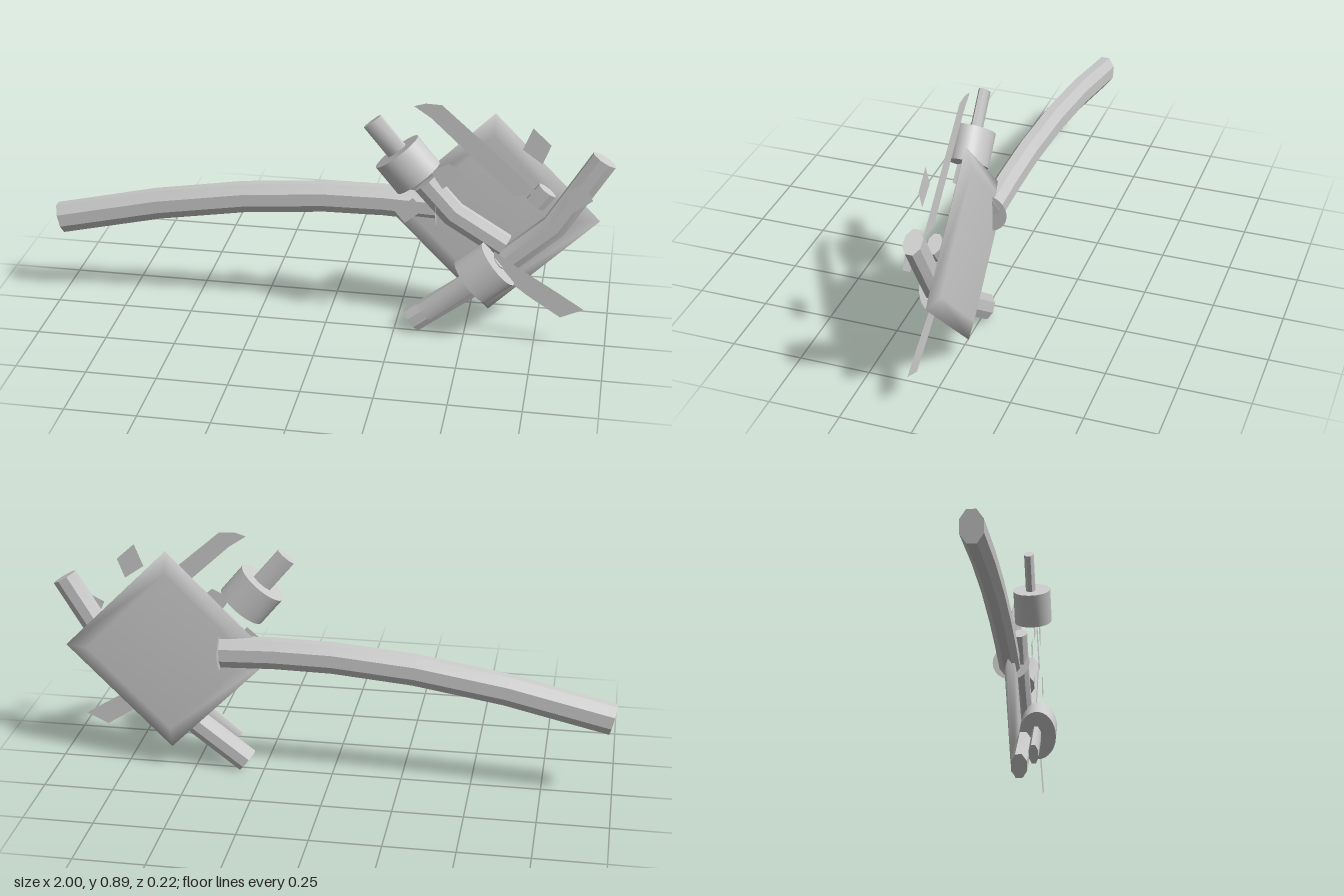
import * as THREE from 'three';
import { toCreasedNormals } from 'three/addons/utils/BufferGeometryUtils.js';

const grey = new THREE.MeshStandardMaterial({ color: 0xcccccc });
const sheetGrey = new THREE.MeshStandardMaterial({ color: 0xcccccc, side: THREE.DoubleSide });

// Sweeps a flattened polygon along a path lying in the plane z; rw in the plane, rz across it.
function sweep(points, z, rw, rz, sides = 8) {
  const path = points.map(([x, y]) => new THREE.Vector2(x, y));
  const pos = [], index = [], last = path.length - 1;
  path.forEach((p, i) => {
    const t = path[Math.min(i + 1, last)].clone().sub(path[Math.max(i - 1, 0)]).normalize();
    for (let j = 0; j < sides; j++) {
      const a = ((j + 0.5) / sides) * Math.PI * 2;
      const k = 1 / Math.cos(Math.PI / sides);
      const w = Math.cos(a) * rw * k;
      pos.push(p.x - t.y * w, p.y + t.x * w, z + Math.sin(a) * rz * k);
    }
  });
  const first = pos.length / 3;
  pos.push(path[0].x, path[0].y, z, path[last].x, path[last].y, z);
  for (let j = 0; j < sides; j++) {
    const n = (j + 1) % sides;
    for (let i = 0; i < last; i++) {
      const a = i * sides + j, b = i * sides + n;
      index.push(a, b, a + sides, b, b + sides, a + sides);
    }
    index.push(first, n, j, first + 1, last * sides + j, last * sides + n);
  }
  const g = new THREE.BufferGeometry();
  g.setAttribute('position', new THREE.Float32BufferAttribute(pos, 3));
  g.setIndex(index);
  return toCreasedNormals(g, 0.5);
}

// Thin flat panel
function sheet(points) {
  const g = new THREE.ShapeGeometry(new THREE.Shape(points.map(([x, y]) => new THREE.Vector2(x, y))));
  return g.translate(0, 0, 0.04);
}

export function createModel() {
  const model = new THREE.Group();
  const add = (name, geometry, material = grey) => {
    const mesh = new THREE.Mesh(geometry, material);
    mesh.name = name;
    model.add(mesh);
    return mesh;
  };

  // Long curved boom and the disc closing its inner end
  add('boom', sweep([[-0.99, 0.31], [-0.62, 0.395], [-0.3, 0.447], [-0.01, 0.472], [0.2, 0.475], [0.39, 0.468]], -0.05, 0.054, 0.038));
  const disc = add('boomDisc', new THREE.CircleGeometry(0.069, 24), sheetGrey);
  disc.rotation.y = Math.PI / 2;
  disc.position.set(0.39, 0.47, -0.045);

  // Diamond-shaped body with bevelled rim
  const profile = [[0, -0.02], [0.295, -0.02], [0.375, 0], [0.295, 0.02], [0, 0.02]];
  const plate = new THREE.LatheGeometry(profile.map(([r, h]) => new THREE.Vector2(r, h)), 4);
  plate.rotateX(Math.PI / 2);
  add('body', plate).position.set(0.58, 0.455, -0.044);

  // Bent arm across the body, and the brace
  add('arm', sweep([[0.31, 0.028], [0.56, 0.22], [0.8, 0.44], [0.957, 0.7]], -0.01, 0.044, 0.029));
  add('brace', sweep([[0.35, 0.57], [0.45, 0.46], [0.63, 0.35]], -0.008, 0.045, 0.025));
  add('stub', sweep([[0.73, 0.52], [0.77, 0.575]], -0.005, 0.035, 0.022));

  // Drums on flattened axles
  const drums = [
    { name: 'upper', c: [0.293, 0.655], d: [0.64, -0.77], reach: 0.195 },
    { name: 'lower', c: [0.57, 0.266], d: [0.77, 0.64], reach: 0.275 },
  ];
  for (const { name, c, d, reach } of drums) {
    const at = (s) => [c[0] + d[0] * s, c[1] + d[1] * s];
    add(name + 'Drum', sweep([at(-0.06), at(0.06)], 0.043, 0.092, 0.068, 28));
    add(name + 'Axle', sweep([at(-reach), at(-0.05)], 0.039, 0.036, 0.017));
    add(name + 'Hub', sweep([at(0.05), at(0.064)], 0.039, 0.022, 0.015, 12));
  }

  // Thin blades
  add('upperBlade', sheet([[0.31, 0.87], [0.35, 0.882], [0.405, 0.88], [0.6, 0.71], [0.745, 0.58], [0.655, 0.565], [0.5, 0.71], [0.37, 0.83]]), sheetGrey);
  add('lowerBlade', sheet([[0.6, 0.35], [0.69, 0.29], [0.8, 0.225], [0.92, 0.15], [0.84, 0.113], [0.72, 0.19], [0.6, 0.28]]), sheetGrey);

  // Small loose flaps
  const flaps = [
    [[0.37, 0.636], [0.436, 0.668], [0.484, 0.626], [0.414, 0.572]],
    [[0.249, 0.476], [0.313, 0.53], [0.35, 0.487], [0.286, 0.433]],
    [[0.714, 0.818], [0.778, 0.76], [0.751, 0.69], [0.682, 0.738]],
    [[0.832, 0.594], [0.896, 0.626], [0.928, 0.567], [0.864, 0.519]],
  ];
  flaps.forEach((f) => add('flap', sheet(f), sheetGrey));

  return model;
}
